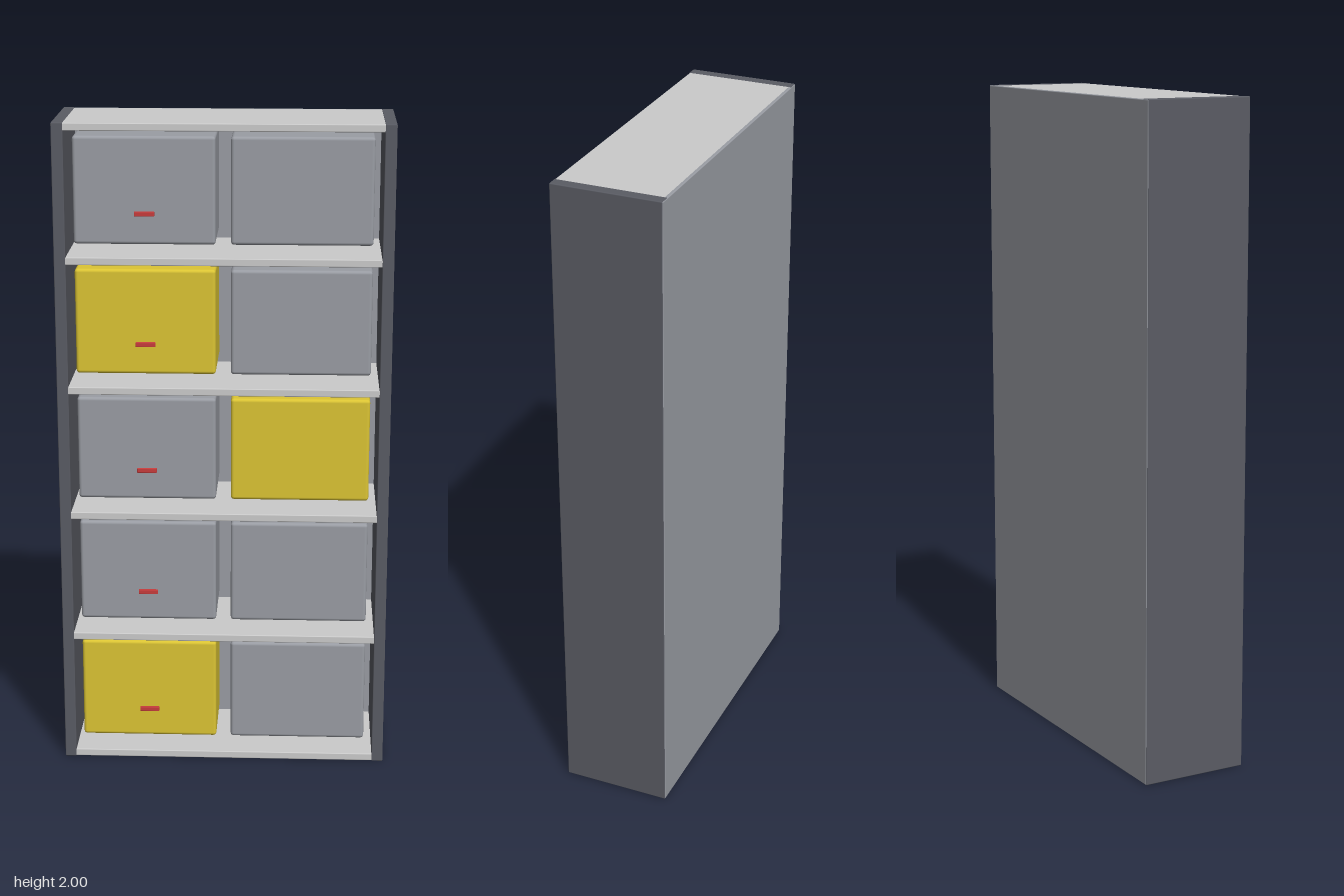
import * as THREE from 'three';
import { RoundedBoxGeometry } from 'three/addons/geometries/RoundedBoxGeometry.js';

const mat = (color) => new THREE.MeshStandardMaterial({ color });

export function createModel() {
  const model = new THREE.Group();
  model.name = 'storageCabinet';
  const panelMat = mat(0x5a5c64), shelfMat = mat(0xcccccc), greyMat = mat(0x9a9da4);
  const yellowMat = mat(0xdcc534), redMat = mat(0xc83c3c);

  // Rounded slab given by its lower and upper corners
  const slab = (name, [x0, y0, z0], [x1, y1, z1], radius, material, parent = model) => {
    const mesh = new THREE.Mesh(new RoundedBoxGeometry(x1 - x0, y1 - y0, z1 - z0, 2, radius), material);
    mesh.position.set((x0 + x1) / 2, (y0 + y1) / 2, (z0 + z1) / 2);
    mesh.name = name;
    parent.add(mesh);
  };

  // Side panels and back
  slab('rightSidePanel', [-0.5, 0, -0.166], [-0.465, 2, 0.167], 0.003, panelMat);
  slab('leftSidePanel', [0.465, 0, -0.166], [0.5, 2, 0.167], 0.003, panelMat);
  slab('backPanel', [-0.499, 0.001, -0.167], [0.499, 1.999, -0.155], 0.003, greyMat);

  // Bottom, four shelves and top
  const pitch = 0.395;
  for (let i = 0; i <= 5; i++) {
    const y = 0.001 + i * pitch;
    slab(i === 0 ? 'bottomPanel' : i === 5 ? 'topPanel' : 'shelf',
      [-0.498, y, -0.165], [0.498, y + 0.023, 0.166], 0.003, shelfMat);
  }

  // Two storage bins per row, the right one with a red handle
  const yellowBins = ['0,0', '2,1', '3,0'];
  for (let row = 0; row < 5; row++) {
    const y = 0.055 + row * pitch;
    [-0.445, 0.02].forEach((x, col) => {
      const bin = new THREE.Group();
      bin.name = 'storageBin';
      model.add(bin);
      const color = yellowBins.includes(`${row},${col}`) ? yellowMat : greyMat;
      slab('binBody', [x, y, -0.13], [x + 0.42, y + 0.32, 0.12], 0.01, color, bin);
      if (col === 0) slab('binHandle', [-0.265, y + 0.085, 0.115], [-0.205, y + 0.099, 0.128], 0.002, redMat, bin);
    });
  }
  return model;
}
